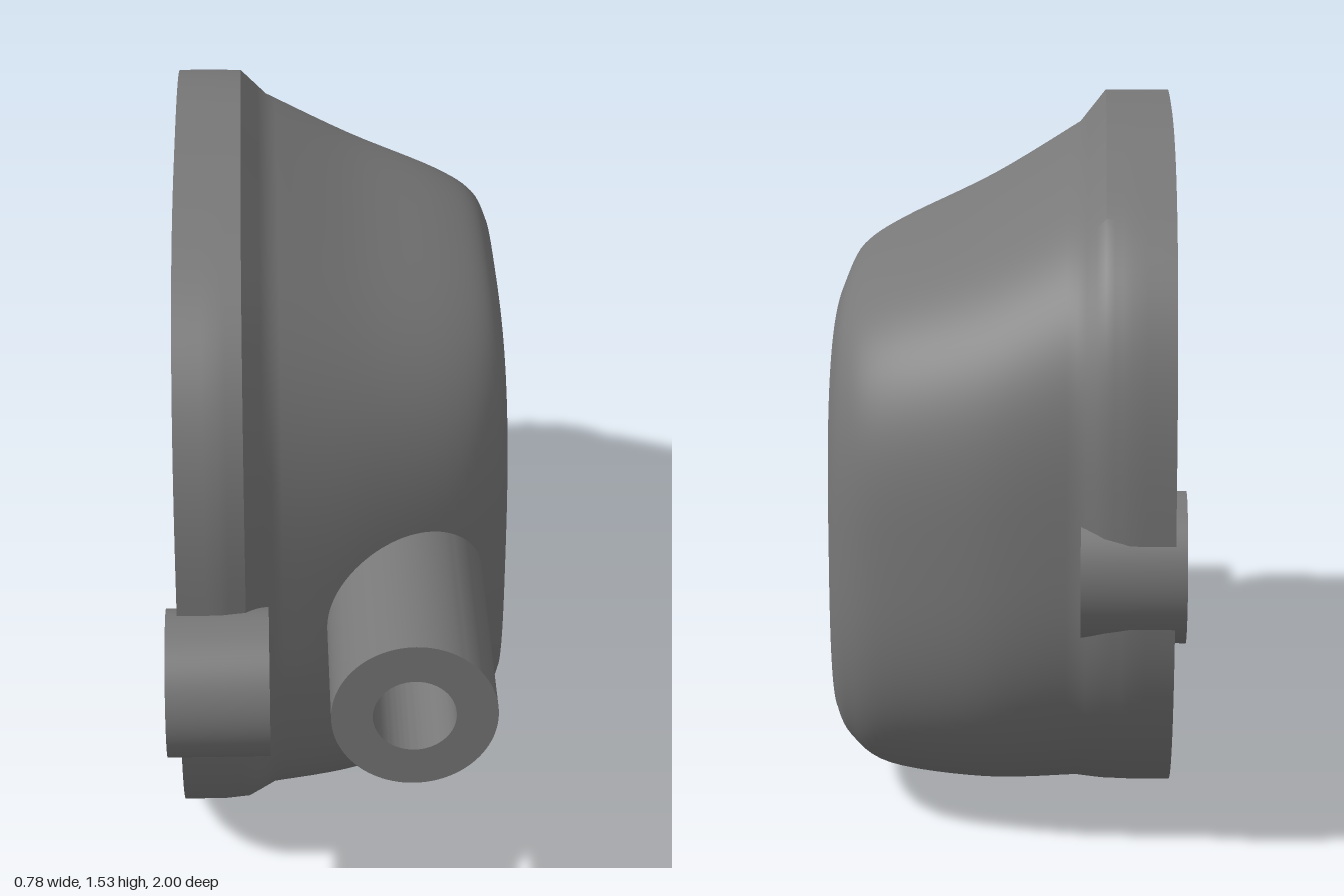
import * as THREE from 'three';
import { toCreasedNormals } from 'three/addons/utils/BufferGeometryUtils.js';

const SEG = 160;
const PIPE = { x: 0.145, y: 0.68 };
const EARS = [{ y: 0.645, z: -0.838 }, { y: 0.645, z: 0.818 }];

// Cross-sections: [x, yMin, yMax, zMin, zMax, zCrown, exponent]
const RIM = [
  [-0.365, 0, 1.535, -0.977, 0.795, -0.02, 2.8],
  [-0.27, 0, 1.535, -0.977, 0.795, -0.02, 2.8],
  [-0.215, 0, 1.535, -0.968, 0.783, -0.02, 2.8],
];
const DOME = [
  [-0.155, 0.018, 1.46, -0.945, 0.712, -0.04, 2.95],
  [0.05, 0.02, 1.34, -0.925, 0.63, -0.08, 3],
  [0.265, 0.05, 1.245, -0.86, 0.51, -0.14, 3],
  [0.355, 0.11, 1.19, -0.795, 0.42, -0.165, 3],
  [0.387, 0.165, 1.13, -0.725, 0.355, -0.175, 3],
];

const inset = (s, t, x = s[0]) => [x, s[1] + t, s[2] - t, s[3] + t, s[4] - t, s[5], s[6]];
const centre = (s) => {
  const y = (s[1] + s[2]) / 2;
  return [s[0], y, y, s[5], s[5], s[5], s[6]];
};

// Adds in-between sections, straight or curved
function subdivide(list, n, curved) {
  const out = [];
  for (let i = 0; i < list.length - 1; i++) {
    const b = list[i], c = list[i + 1];
    const a = list[i - 1] || b, d = list[i + 2] || c;
    for (let k = 0; k < n; k++) {
      const t = k / n;
      out.push(b.map((v, q) => {
        if (!curved) return v + (c[q] - v) * t;
        const m0 = (c[q] - a[q]) / 2, m1 = (d[q] - v) / 2;
        return v + m0 * t + (3 * (c[q] - v) - 2 * m0 - m1) * t * t
          + (2 * (v - c[q]) + m0 + m1) * t * t * t;
      }));
    }
  }
  out.push(list[list.length - 1]);
  return out;
}

// Openings where the tubes pass through the shell
function isBored(p) {
  if (p.z > 0.37 && Math.hypot(p.x - PIPE.x, p.y - PIPE.y) < 0.135) return true;
  return p.x < -0.19 && EARS.some((e) => Math.hypot(p.y - e.y, p.z - e.z) < 0.11);
}

// Skin over rounded cross-sections
function loft(sections) {
  const rings = sections.map((s) => {
    const yc = (s[1] + s[2]) / 2, ry = (s[2] - s[1]) / 2;
    const pow = (v) => Math.sign(v) * Math.abs(v) ** (2 / s[6]);
    return Array.from({ length: SEG }, (_, j) => {
      const a = (j / SEG) * Math.PI * 2;
      const rz = Math.sin(a) > 0 ? s[4] - s[5] : s[5] - s[3];
      return new THREE.Vector3(s[0], yc + ry * pow(Math.cos(a)), s[5] + rz * pow(Math.sin(a)));
    });
  });
  const pos = [];
  const tri = (...pts) => {
    const m = pts[0].clone().add(pts[1]).add(pts[2]).divideScalar(3);
    if (!isBored(m)) pts.forEach((p) => pos.push(p.x, p.y, p.z));
  };
  for (let i = 0; i < rings.length - 1; i++) {
    for (let j = 0; j < SEG; j++) {
      const k = (j + 1) % SEG;
      const a = rings[i][j], b = rings[i][k], c = rings[i + 1][k], d = rings[i + 1][j];
      if (!a.equals(b)) tri(a, b, c);
      if (!c.equals(d)) tri(a, c, d);
    }
  }
  const g = new THREE.BufferGeometry();
  g.setAttribute('position', new THREE.Float32BufferAttribute(pos, 3));
  return toCreasedNormals(g, 0.6);
}

// Hollow round tube along +z
function tube(outer, bore, length) {
  const shape = new THREE.Shape();
  shape.absarc(0, 0, outer, 0, Math.PI * 2);
  const hole = new THREE.Path();
  hole.absarc(0, 0, bore, 0, Math.PI * 2, true);
  shape.holes.push(hole);
  const g = new THREE.ExtrudeGeometry(shape, { depth: length, bevelEnabled: false, curveSegments: 48 });
  return toCreasedNormals(g, 0.6);
}

export function createModel() {
  const grey = new THREE.MeshStandardMaterial({ color: 0x787878 });
  grey.name = 'dark grey';
  const model = new THREE.Group();
  model.name = 'housing';
  const add = (name, geometry) => {
    const mesh = new THREE.Mesh(geometry, grey);
    mesh.name = name;
    model.add(mesh);
    return mesh;
  };

  // Shell: inner cavity, back edge, rim and dome in one skin
  const mouth = inset(RIM[0], 0.11);
  const cavity = subdivide([
    mouth,
    inset(RIM[2], 0.11),
    inset(DOME[0], 0.07),
    inset(DOME[1], 0.085),
    inset(DOME[2], 0.085, 0.19),
    inset(DOME[3], 0.085, 0.235),
    inset(DOME[4], 0.08, 0.255),
  ], 5, true).reverse();
  const edge = subdivide([mouth, RIM[0]], 4, false).slice(1, -1);
  const dome = subdivide(DOME, 6, true);
  const rim = subdivide([...RIM, DOME[0]], 3, false).slice(0, -1);
  add('shell', loft([...cavity, ...edge, ...rim, ...dome]));

  // Flat end of the dome, outside and inside
  const end = DOME[4];
  add('endFace', loft([end, centre(end)]));
  add('cavityFloor', loft([centre(cavity[0]), cavity[0]]));

  // Pipe entering through the front wall
  add('pipe', tube(0.18, 0.09, 0.66)).position.set(PIPE.x, PIPE.y, 0.34);

  // Mounting ears on the rim
  EARS.forEach((e, i) => {
    const ear = add(i ? 'frontEar' : 'backEar', tube(0.163, 0.062, 0.225));
    ear.rotation.y = Math.PI / 2;
    ear.position.set(-0.39, e.y, e.z);
  });
  return model;
}
